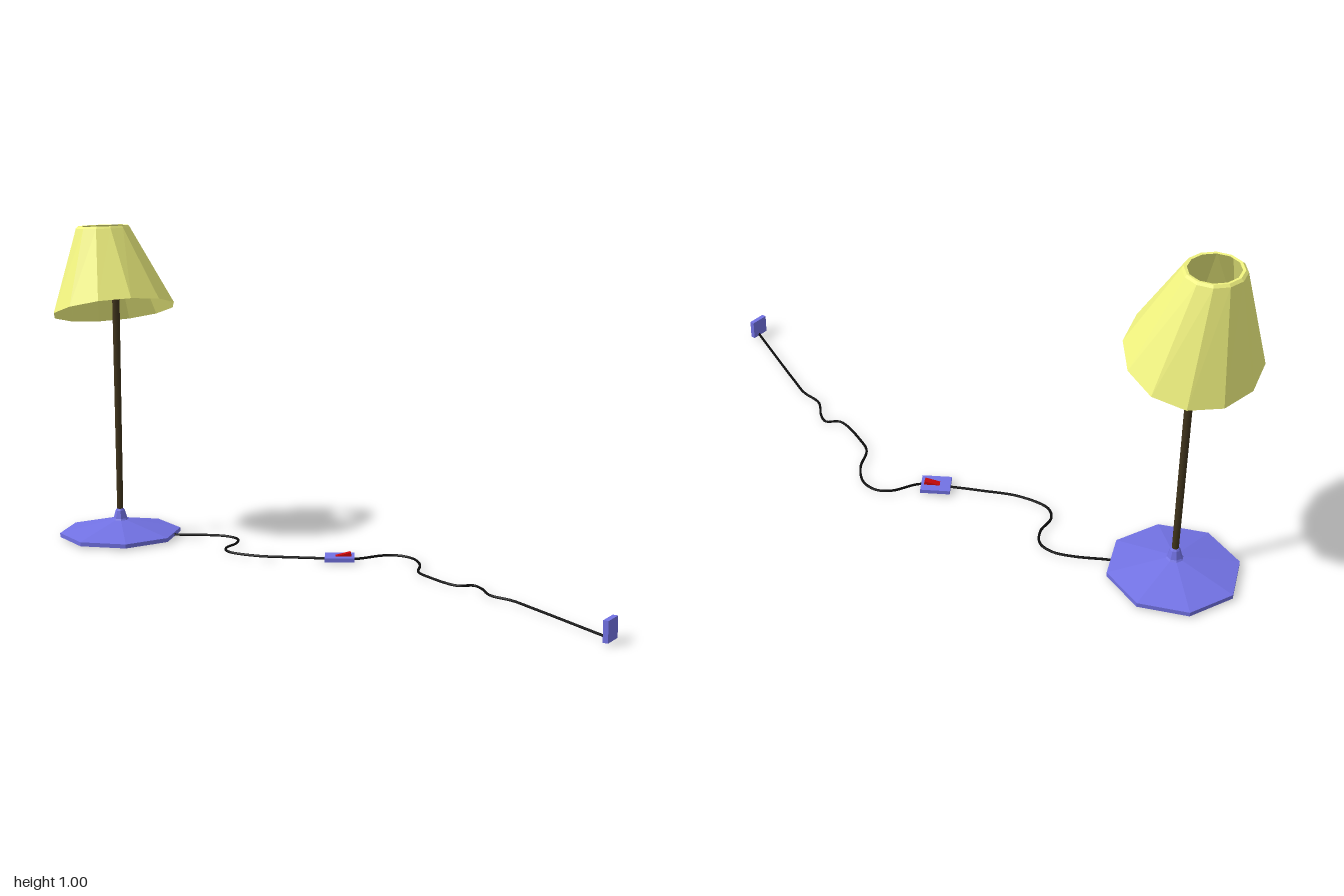
import * as THREE from 'three';

const paint = (color, flat = true) =>
  new THREE.MeshStandardMaterial({ color, flatShading: flat, side: THREE.DoubleSide });

const BLUE = paint(0x7272e4);
const YELLOW = paint(0xf2f480);
const BROWN = paint(0x40341c, false);
const BLACK = paint(0x0a0a0a, false);
const RED = paint(0xcc0808);
const GREY = paint(0xcccccc, false);

const LAMP_X = -0.806;
const LAMP_Z = 0.008;

function part(name, geometry, material, x = 0, y = 0, z = 0) {
  const mesh = new THREE.Mesh(geometry, material);
  mesh.name = name;
  mesh.position.set(x, y, z);
  return mesh;
}

// Skin made of stacked rings; each ring has its own centre, radii and tilt
function ringSkin(rings, sides) {
  const positions = [], index = [];
  rings.forEach(({ c, rx, rz, sx = 0, sz = 0 }) => {
    for (let i = 0; i < sides; i++) {
      const a = (i / sides) * Math.PI * 2;
      const dx = Math.sin(a) * rx, dz = Math.cos(a) * rz;
      positions.push(c[0] + dx, c[1] + dx * sx + dz * sz, c[2] + dz);
    }
  });
  for (let r = 0; r < rings.length - 1; r++) {
    for (let i = 0; i < sides; i++) {
      const j = (i + 1) % sides;
      const a = r * sides + i, b = r * sides + j, c = a + sides, d = b + sides;
      index.push(a, b, d, a, d, c);
    }
  }
  const g = new THREE.BufferGeometry();
  g.setAttribute('position', new THREE.Float32BufferAttribute(positions, 3));
  g.setIndex(index);
  g.computeVertexNormals();
  return g;
}

function makeLamp() {
  const lamp = new THREE.Group();
  lamp.name = 'lamp';

  // Hollow octagonal foot with a raised neck
  const profile = [[0.194, 0.005], [0.194, 0.018], [0.026, 0.055], [0.022, 0.06],
    [0.015, 0.085], [0.011, 0.091], [0, 0.091]].map(p => new THREE.Vector2(...p));
  lamp.add(part('base', new THREE.LatheGeometry(profile, 8), BLUE, LAMP_X, 0, LAMP_Z));

  // Pole, socket and bulb
  lamp.add(part('pole', new THREE.CylinderGeometry(0.012, 0.01, 0.73, 10), BROWN, LAMP_X, 0.45, LAMP_Z));
  lamp.add(part('socket', new THREE.CylinderGeometry(0.015, 0.015, 0.025, 12), BLACK, LAMP_X, 0.822, LAMP_Z));
  lamp.add(part('bulb', new THREE.SphereGeometry(0.024, 12, 8), GREY, LAMP_X, 0.852, LAMP_Z));

  // Crooked twelve-sided shade with a small lip turned in at the top
  const shade = ringSkin([
    { c: [-0.797, 0.737, 0.027], rx: 0.182, rz: 0.208, sx: 0.26, sz: 0.142 },
    { c: [-0.832, 0.996, 0.033], rx: 0.083, rz: 0.092, sx: 0.03 },
    { c: [-0.831, 1.003, 0.032], rx: 0.077, rz: 0.085, sx: 0.03 },
    { c: [-0.831, 1.002, 0.032], rx: 0.069, rz: 0.077, sx: 0.03 },
  ], 12);
  lamp.add(part('shade', shade, YELLOW));
  return lamp;
}

function makeCord() {
  // Winding path along the floor, as x, z pairs
  const path = [[-0.66, -0.06], [-0.63, -0.075], [-0.556, -0.118], [-0.492, -0.142], [-0.44, -0.133],
    [-0.408, -0.085], [-0.4, -0.02], [-0.364, 0.015], [-0.262, 0.008], [-0.155, -0.04],
    [-0.075, -0.08], [0.011, -0.128], [0.059, -0.208], [0.1, -0.234], [0.155, -0.227],
    [0.21, -0.176], [0.25, -0.1], [0.3, -0.07], [0.42, -0.033], [0.455, -0.061],
    [0.492, -0.043], [0.545, 0.005], [0.62, 0.018], [0.7, 0.053], [0.99, 0.19]];
  const curve = new THREE.CatmullRomCurve3(path.map(([x, z]) => new THREE.Vector3(x, 0.01, z)));
  return part('cord', new THREE.TubeGeometry(curve, 160, 0.004, 6), BLACK);
}

function makeSwitch() {
  const group = new THREE.Group();
  group.name = 'cordSwitch';
  group.add(part('switchBody', new THREE.BoxGeometry(0.09, 0.012, 0.072), BLUE));
  // Tilted rocker through the body
  const rocker = part('switchRocker', new THREE.BoxGeometry(0.072, 0.012, 0.02), RED, 0, 0.003, 0);
  rocker.rotation.z = 0.26;
  group.add(rocker);
  group.position.set(-0.032, 0.013, -0.105);
  group.rotation.y = 0.57;
  return group;
}

export function createModel() {
  const model = new THREE.Group();
  model.name = 'tableLamp';
  model.add(makeLamp(), makeCord(), makeSwitch());
  // Wall plug at the end of the cord
  model.add(part('plug', new THREE.BoxGeometry(0.015, 0.06, 0.06), BLUE, 0.9925, 0.036, 0.194));
  return model;
}
